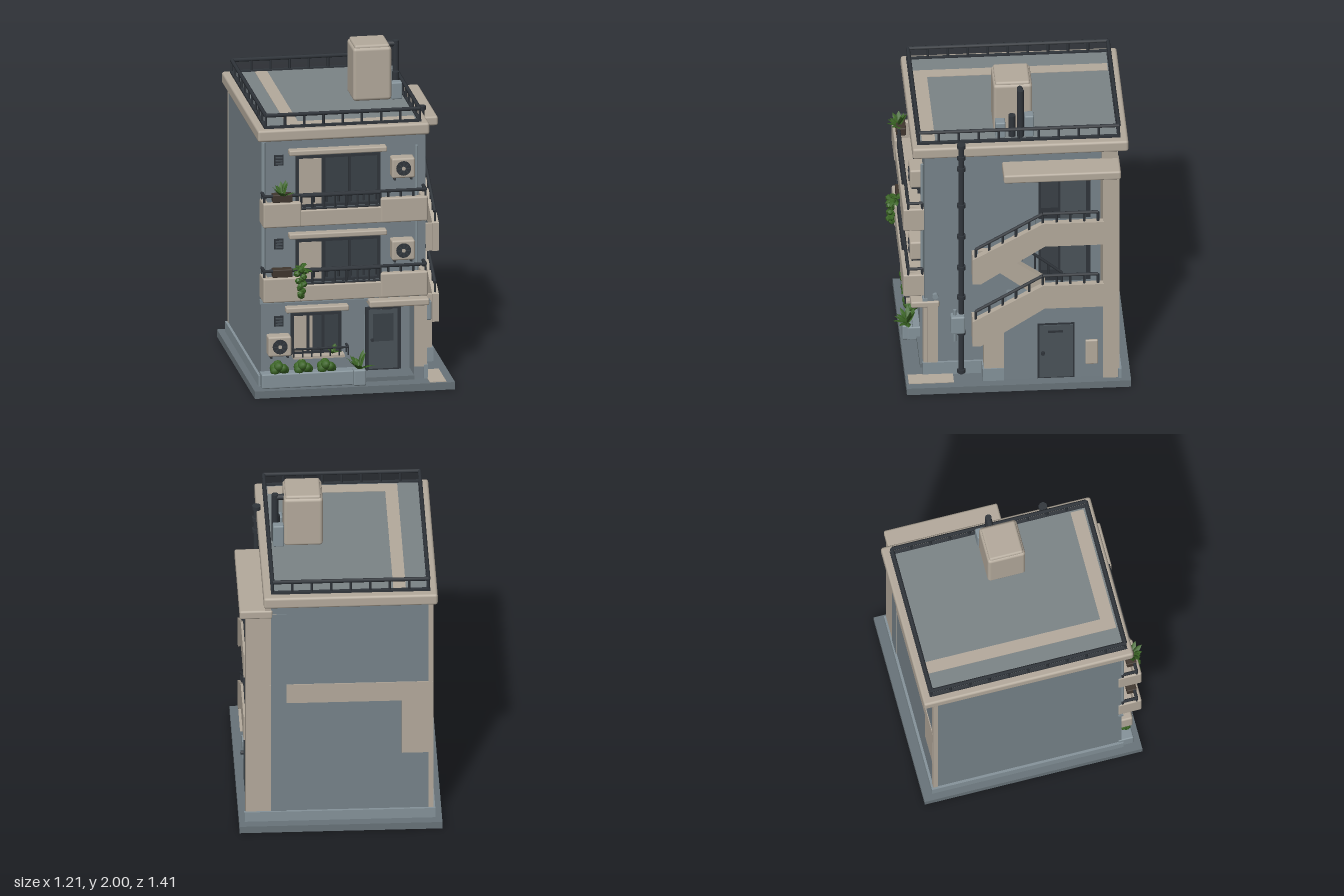
import * as THREE from 'three';
import { RoundedBoxGeometry } from 'three/addons/geometries/RoundedBoxGeometry.js';

const mat = (name, color, side = THREE.FrontSide) => {
  const m = new THREE.MeshStandardMaterial({ color, side });
  m.name = name;
  return m;
};

export function createModel() {
  const root = new THREE.Group();
  root.name = 'apartmentBuilding';
  const wall = mat('wallGrey', 0x77838a), cream = mat('cream', 0xb4aa9c), trim = mat('paleBlueGrey', 0x85939a);
  const metal = mat('darkMetal', 0x30353b), glass = mat('darkGlass', 0x3a4147), door = mat('doorGrey', 0x4a5359);
  const slab = mat('slabGrey', 0x687379), leafMat = mat('leafGreen', 0x3a6424, THREE.DoubleSide);
  const pot = mat('potBrown', 0x40362e), roofMat = mat('roofGrey', 0x7c8487);

  let parent = root;
  const add = (name, geo, m) => {
    const mesh = new THREE.Mesh(geo, m);
    mesh.name = name;
    parent.add(mesh);
    return mesh;
  };
  const group = (name, build) => {
    const g = new THREE.Group(), old = parent;
    g.name = name;
    old.add(g);
    parent = g;
    build();
    parent = old;
    return g;
  };
  // Boxes are given by their limits; r rounds the edges
  const box = (name, m, x0, x1, y0, y1, z0, z1, r = 0) => {
    const s = [x1 - x0, y1 - y0, z1 - z0];
    const mesh = add(name, r ? new RoundedBoxGeometry(...s, 2, r) : new THREE.BoxGeometry(...s), m);
    mesh.position.set((x0 + x1) / 2, (y0 + y1) / 2, (z0 + z1) / 2);
    return mesh;
  };
  const rod = (name, m, a, b, r, sides = 8) => {
    const p = new THREE.Vector3(...a), q = new THREE.Vector3(...b), d = q.clone().sub(p);
    const mesh = add(name, new THREE.CylinderGeometry(r, r, d.length(), sides), m);
    mesh.position.copy(p).add(q).multiplyScalar(0.5);
    mesh.quaternion.setFromUnitVectors(new THREE.Vector3(0, 1, 0), d.normalize());
    return mesh;
  };
  // Side profile in (z, y), extruded between x0 and x1
  const sideProfile = (name, m, pts, x0, x1) => {
    const shape = new THREE.Shape(pts.map(p => new THREE.Vector2(...p)));
    const mesh = add(name, new THREE.ExtrudeGeometry(shape, { depth: x1 - x0, bevelEnabled: false }), m);
    mesh.rotation.y = -Math.PI / 2;
    mesh.position.x = x1;
  };
  // Handrail along a path with evenly spaced posts dropping by h
  const railing = (name, pts, h, gap = 0.085, r = 0.01) => group(name, () => {
    for (let i = 0; i + 1 < pts.length; i++) {
      const a = new THREE.Vector3(...pts[i]), b = new THREE.Vector3(...pts[i + 1]);
      rod('handrail', metal, pts[i], pts[i + 1], r, 6);
      const n = Math.max(1, Math.round(a.distanceTo(b) / gap));
      for (let k = 0; k <= n; k++) {
        const p = a.clone().lerp(b, k / n);
        rod('railPost', metal, [p.x, p.y - h, p.z], p.toArray(), r * 0.7, 6);
      }
    }
  });
  // Rosette of arching leaves; droop pulls the tips down
  const plant = (name, x, y, z, len, count, droop, rise = 1) => group(name, () => {
    for (let i = 0; i < count; i++) {
      const l = len * (0.75 + 0.25 * Math.sin(i * 2.7)), up = rise * (0.35 + 0.65 * ((i * 0.618) % 1));
      const g = new THREE.ConeGeometry(0.016, 1, 4, 4), p = g.attributes.position;
      for (let k = 0; k < p.count; k++) {
        const t = p.getY(k) + 0.5, w = Math.sin(Math.PI * (0.15 + 0.8 * t)) / Math.max(1 - t, 0.25);
        p.setXYZ(k, t * l * (1.15 - up * 0.7), t * l * up - droop * t * t * l + p.getX(k) * 0.3, p.getZ(k) * w);
      }
      g.computeVertexNormals();
      const leaf = add('leaf', g, leafMat);
      leaf.position.set(x, y, z);
      leaf.rotation.y = i * 2.4;
    }
  });

  // Base slab and building mass, leaving the porch and stairwell open
  box('baseSlab', slab, -0.61, 0.6, 0, 0.045, -0.705, 0.635);
  box('pavingPatch', cream, 0.45, 0.55, 0.045, 0.049, 0.35, 0.62);
  group('walls', () => {
    box('upperWalls', wall, -0.555, 0.32, 0.54, 1.58, -0.635, 0.52);
    box('upperSideWall', wall, 0.32, 0.44, 0.54, 1.58, 0.03, 0.52);
    box('groundWalls', wall, -0.555, 0.44, 0.045, 0.54, -0.635, 0.37);
    box('groundFrontWall', wall, -0.555, 0.07, 0.045, 0.54, 0.37, 0.52);
    box('porchPier', wall, 0.37, 0.44, 0.045, 0.54, 0.37, 0.52);
    box('stairwellHeader', wall, 0.32, 0.44, 1.5, 1.58, -0.635, 0.03);
    box('rearStairWall', cream, 0.32, 0.56, 0.045, 1.5, -0.638, -0.54);
    box('rearPillarTop', cream, 0.41, 0.445, 1.5, 1.58, -0.638, -0.54);
    box('rearBand', cream, -0.555, 0.42, 0.87, 1.0, -0.64, -0.635);
    box('rearPatch', cream, -0.545, -0.37, 0.5, 0.87, -0.64, -0.635);
    box('rearCornerStrip', cream, -0.558, -0.53, 0.1, 1.57, -0.639, -0.61);
    box('rearWallFill', wall, 0.318, 0.41, 0.1, 1.5, -0.641, -0.637);
    box('leftPlinth', trim, -0.57, -0.55, 0.045, 0.11, -0.65, 0.53);
    box('rearPlinth', trim, -0.57, 0.57, 0.045, 0.11, -0.65, -0.63);
    box('rightPlinth', trim, 0.43, 0.455, 0.045, 0.13, 0.17, 0.53);
    box('floorBand', trim, -0.56, 0.445, 0.555, 0.58, 0.5, 0.53);
  });

  // Roof with rim, stained floor and railing
  group('roof', () => {
    box('cornice', cream, -0.583, 0.455, 1.575, 1.648, -0.7, 0.59, 0.015);
    box('roofFloor', roofMat, -0.53, 0.4, 1.63, 1.655, -0.65, 0.55);
    box('roofStripe', cream, -0.395, -0.32, 1.654, 1.658, -0.63, 0.53);
    box('roofFrontStripe', cream, -0.32, 0.38, 1.654, 1.658, 0.45, 0.53);
    const y = 1.73;
    railing('roofRailing', [[-0.53, y, 0.55], [0.4, y, 0.55], [0.4, y, -0.645], [-0.53, y, -0.645], [-0.53, y, 0.55]], 0.08, 0.115, 0.012);
    for (const z of [0.55, -0.645]) box('railFoot', metal, -0.54, 0.41, 1.65, 1.664, z - 0.01, z + 0.01);
    for (const x of [-0.53, 0.4]) box('railFoot', metal, x - 0.01, x + 0.01, 1.65, 1.664, -0.65, 0.55);
  });
  group('waterTank', () => {
    box('tankBody', cream, 0.077, 0.31, 1.655, 1.985, -0.135, 0.097, 0.02);
    box('tankLid', cream, 0.088, 0.3, 1.97, 2.0, -0.123, 0.086, 0.014);
    box('pumpBox', trim, 0.31, 0.375, 1.655, 1.8, -0.14, -0.085, 0.008);
    box('valveBox', trim, 0.31, 0.375, 1.655, 1.76, 0.03, 0.09, 0.008);
    rod('tallPipe', metal, [0.36, 1.655, -0.06], [0.36, 1.98, -0.06], 0.02, 12);
    rod('pipeElbow', metal, [0.3, 1.96, -0.06], [0.37, 1.96, -0.06], 0.018, 12);
    rod('shortPipe', metal, [0.35, 1.655, -0.01], [0.35, 1.8, -0.01], 0.022, 12);
  });

  // Sliding window with curtain panel, mullions and lintel
  const windowUnit = (x0, x1, y0, y1, curtain, lx0, lx1) => group('window', () => {
    box('glass', glass, x0, x1, y0, y1, 0.515, 0.526);
    box('curtain', cream, x0 + 0.02, x0 + curtain, y0 + 0.015, y1 - 0.02, 0.522, 0.531);
    for (const t of [0, 0.33, 0.64, 1]) {
      const x = x0 + 0.008 + t * (x1 - x0 - 0.016);
      box('mullion', metal, x - 0.008, x + 0.008, y0, y1, 0.515, 0.54);
    }
    for (const y of [y0, y1 - 0.016]) box('frameBar', metal, x0, x1, y, y + 0.016, 0.515, 0.54);
    box('lintel', cream, lx0, lx1, y1 + 0.012, y1 + 0.045, 0.51, 0.575, 0.008);
  });
  const airConditioner = (x, y) => group('airConditioner', () => {
    box('unitCase', cream, x - 0.07, x + 0.07, y - 0.062, y + 0.062, 0.51, 0.6, 0.012);
    rod('fanGrille', metal, [x, y, 0.59], [x, y, 0.604], 0.045, 20);
    rod('fanHub', cream, [x, y, 0.6], [x, y, 0.607], 0.012, 12);
    for (const a of [0, 1, 2, 3]) box('fanBlade', glass, x - 0.038, x + 0.038, y - 0.003, y + 0.003, 0.602, 0.606).rotation.z = a * Math.PI / 4;
    for (const s of [-0.05, 0.05]) box('bracket', metal, x + s - 0.006, x + s + 0.006, y - 0.075, y - 0.06, 0.52, 0.59);
  });
  const vent = (x, y) => group('wallVent', () => {
    box('ventFrame', metal, x - 0.028, x + 0.028, y - 0.032, y + 0.032, 0.515, 0.53);
    for (let i = -1; i <= 1; i++) box('ventSlat', door, x - 0.02, x + 0.02, y + i * 0.018 - 0.004, y + i * 0.018 + 0.004, 0.528, 0.536);
  });

  // Two identical upper floors
  for (const [i, y] of [0.592, 1.057].entries()) {
    group('balcony', () => {
      box('balconyFloor', cream, -0.56, 0.435, y, y + 0.04, 0.5, 0.64, 0.008);
      box('parapetMiddle', cream, -0.34, 0.16, y, y + 0.1, 0.605, 0.64, 0.008);
      box('parapetLeft', cream, -0.56, -0.33, y, y + 0.152, 0.6, 0.645, 0.01);
      box('parapetRight', cream, 0.15, 0.435, y, y + 0.152, 0.6, 0.645, 0.01);
      for (const x of [-0.56, 0.4]) box('parapetEnd', cream, x, x + 0.035, y, y + 0.152, 0.5, 0.645, 0.01);
      railing('balconyRail', [[-0.55, y + 0.19, 0.53], [-0.55, y + 0.19, 0.615], [0.425, y + 0.19, 0.615], [0.425, y + 0.19, 0.53]], 0.05, 0.075);
      railing('middleBalusters', [[-0.33, y + 0.185, 0.622], [0.15, y + 0.185, 0.622]], 0.08, 0.07);
      rod('lowerRail', metal, [-0.33, y + 0.105, 0.622], [0.15, y + 0.105, 0.622], 0.007, 6);
    });
    windowUnit(-0.345, 0.165, y + 0.09, y + (i ? 0.408 : 0.355), 0.155, -0.39, 0.2);
    airConditioner(0.295, y + (i ? 0.32 : 0.275));
    vent(-0.447, y + (i ? 0.385 : 0.33));
    box('flowerTrough', pot, -0.5, -0.38, y + 0.15, y + 0.2, 0.57, 0.63, 0.006);
    rod('drainPipe', trim, [0.385, y, 0.53], [0.385, y + 0.44, 0.53], 0.009);
    rod('drainPipe', trim, [-0.54, y, 0.53], [-0.54, y + 0.5, 0.53], 0.011);
  }
  plant('balconyFern', -0.44, 1.24, 0.61, 0.105, 20, 0.1, 1.1);
  plant('hangingPlantTop', -0.33, 0.79, 0.635, 0.09, 16, 0.5, 0.9);
  group('hangingVines', () => {
    for (let i = 0; i < 12; i++) {
      const leaf = add('vineLeaf', new THREE.IcosahedronGeometry(0.022, 0), leafMat);
      leaf.position.set(-0.335 + 0.028 * Math.sin(i * 2.3) * (1 - i / 14), 0.8 - i * 0.015, 0.665 + 0.012 * Math.cos(i * 1.9));
      leaf.rotation.set(i, i * 2, 0);
    }
  });

  // Ground floor front: window, planters and recessed porch
  windowUnit(-0.375, -0.07, 0.235, 0.49, 0.13, -0.41, -0.03);
  airConditioner(-0.452, 0.305);
  vent(-0.447, 0.443);
  group('windowBox', () => {
    box('windowBoxTray', cream, -0.37, -0.06, 0.222, 0.238, 0.52, 0.6);
    railing('windowBoxRail', [[-0.37, 0.285, 0.53], [-0.37, 0.285, 0.6], [-0.04, 0.285, 0.6], [-0.04, 0.285, 0.53]], 0.05, 0.06, 0.007);
    plant('windowBoxPlant', -0.13, 0.245, 0.57, 0.07, 12, 0.2);
  });
  group('groundPlanter', () => {
    box('planterWall', trim, -0.56, 0.07, 0.045, 0.135, 0.5, 0.595, 0.008);
    for (const x of [-0.45, -0.305, -0.165]) for (let k = 0; k < 7; k++) {
      const bush = add('bush', new THREE.IcosahedronGeometry(0.03, 1), leafMat);
      bush.position.set(x + 0.03 * Math.cos(k * 0.9), 0.15 + 0.026 * (k % 3) / 2, 0.56 + 0.02 * Math.sin(k * 0.9));
    }
    box('plantPot', trim, -0.01, 0.065, 0.045, 0.145, 0.56, 0.625, 0.01);
    plant('pottedPlant', 0.027, 0.14, 0.59, 0.13, 18, 0.15, 1.1);
  });
  group('porch', () => {
    box('canopy', cream, 0.09, 0.452, 0.518, 0.56, 0.43, 0.6, 0.01);
    box('porchColumn', cream, 0.372, 0.45, 0.12, 0.525, 0.44, 0.526);
    box('porchStep', slab, 0.07, 0.37, 0.045, 0.07, 0.37, 0.54);
    box('doorFrame', metal, 0.1, 0.315, 0.07, 0.46, 0.365, 0.385);
    box('frontDoor', door, 0.12, 0.295, 0.08, 0.445, 0.38, 0.392);
    box('doorPanel', glass, 0.145, 0.27, 0.25, 0.42, 0.39, 0.396);
    rod('doorKnob', metal, [0.14, 0.26, 0.39], [0.14, 0.26, 0.41], 0.01);
    box('porchLamp', metal, 0.17, 0.23, 0.5, 0.518, 0.52, 0.58);
    box('porchSidePanel', trim, 0.069, 0.075, 0.12, 0.45, 0.39, 0.5);
  });

  // Exterior staircase with enclosed base, landings and parapets
  sideProfile('stairBaseWall', wall, [[0.05, 0.045], [0.05, 0.42], [-0.19, 0.58], [-0.54, 0.58], [-0.54, 0.045]], 0.43, 0.54);
  sideProfile('stairBaseEnd', cream, [[0.17, 0.045], [0.17, 0.34], [0.05, 0.42], [0.05, 0.045]], 0.43, 0.54);
  box('stairBasePlinth', trim, 0.44, 0.548, 0.045, 0.13, 0.05, 0.178);
  for (const y of [0, 0.44]) group('stairFlight', () => {
    sideProfile('stairParapet', cream, [[0.24, 0.308 + y], [0.24, 0.48 + y], [-0.18, 0.718 + y], [-0.545, 0.718 + y], [-0.545, 0.558 + y], [-0.19, 0.558 + y], [0.19, 0.308 + y]], 0.53, 0.57);
    box('stairEndWall', cream, 0.455, 0.56, 0.31 + y, 0.478 + y, 0.21, 0.238);
    sideProfile('stairUnderside', cream, [[0.22, 0.31 + y], [0.22, 0.34 + y], [-0.19, 0.59 + y], [-0.19, 0.558 + y], [0.19, 0.31 + y]], 0.44, 0.54);
    for (let k = 0; k < 7; k++) box('stairTread', door, 0.44, 0.535, 0.32 + y + k * 0.036, 0.37 + y + k * 0.036, 0.15 - k * 0.055, 0.21 - k * 0.055);
    box('landing', slab, 0.31, 0.54, 0.562 + y, 0.6 + y, -0.545, -0.15);
    railing('stairRail', [[0.55, 0.545 + y, 0.22], [0.55, 0.78 + y, -0.18], [0.55, 0.78 + y, -0.51]], 0.075, 0.09, 0.011);
    box('landingDoorFrame', metal, 0.315, 0.328, 0.6 + y, 1.01 + y, -0.48, -0.17);
    box('landingDoor', door, 0.325, 0.334, 0.6 + y, 0.99 + y, -0.455, -0.3);
    box('landingWindow', glass, 0.325, 0.334, 0.68 + y, 0.99 + y, -0.285, -0.185);
    rod('ceilingLamp', metal, [0.44, 0.985 + y, -0.3], [0.44, 1.03 + y, -0.3], 0.04, 16);
  });
  sideProfile('returnStringer', cream, [[0.2, 0.86], [0.2, 0.92], [0.1, 0.92], [-0.2, 0.7], [-0.2, 0.6], [-0.13, 0.6]], 0.42, 0.47);
  railing('returnRail', [[0.46, 0.94, -0.06], [0.46, 0.74, -0.3]], 0.1, 0.09);
  box('stairRoof', cream, 0.4, 0.597, 1.47, 1.527, -0.645, 0.055, 0.012);
  box('stairCeiling', slab, 0.31, 0.55, 1.462, 1.5, -0.55, 0.03);

  // Service door and meter hatch on the stair base
  group('serviceDoor', () => {
    box('serviceDoorFrame', metal, 0.535, 0.546, 0.05, 0.435, -0.37, -0.15);
    box('serviceDoorLeaf', door, 0.54, 0.553, 0.06, 0.425, -0.36, -0.16);
    box('doorSlot', metal, 0.55, 0.556, 0.375, 0.39, -0.3, -0.21);
    rod('doorHandle', metal, [0.55, 0.235, -0.18], [0.57, 0.235, -0.18], 0.012);
    box('meterHatch', cream, 0.535, 0.555, 0.14, 0.31, -0.51, -0.435, 0.008);
  });
  box('sideColumn', cream, 0.436, 0.452, 0.12, 0.55, 0.44, 0.5);

  // Downpipe with collars and junction box
  group('downpipe', () => {
    rod('pipe', metal, [0.455, 0.05, 0.3], [0.455, 1.67, 0.3], 0.017, 12);
    for (const y of [0.07, 0.34, 0.59, 0.8, 1.02, 1.24, 1.5, 1.58, 1.66]) rod('collar', metal, [0.455, y - 0.012, 0.3], [0.455, y + 0.012, 0.3], 0.026, 12);
    box('junctionBox', trim, 0.44, 0.505, 0.355, 0.475, 0.28, 0.365, 0.01);
    rod('conduit', trim, [0.47, 0.29, 0.34], [0.47, 0.51, 0.34], 0.01);
    rod('wallCap', trim, [0.43, 0.6, 0.455], [0.46, 0.6, 0.455], 0.018, 12);
  });
  return root;
}
